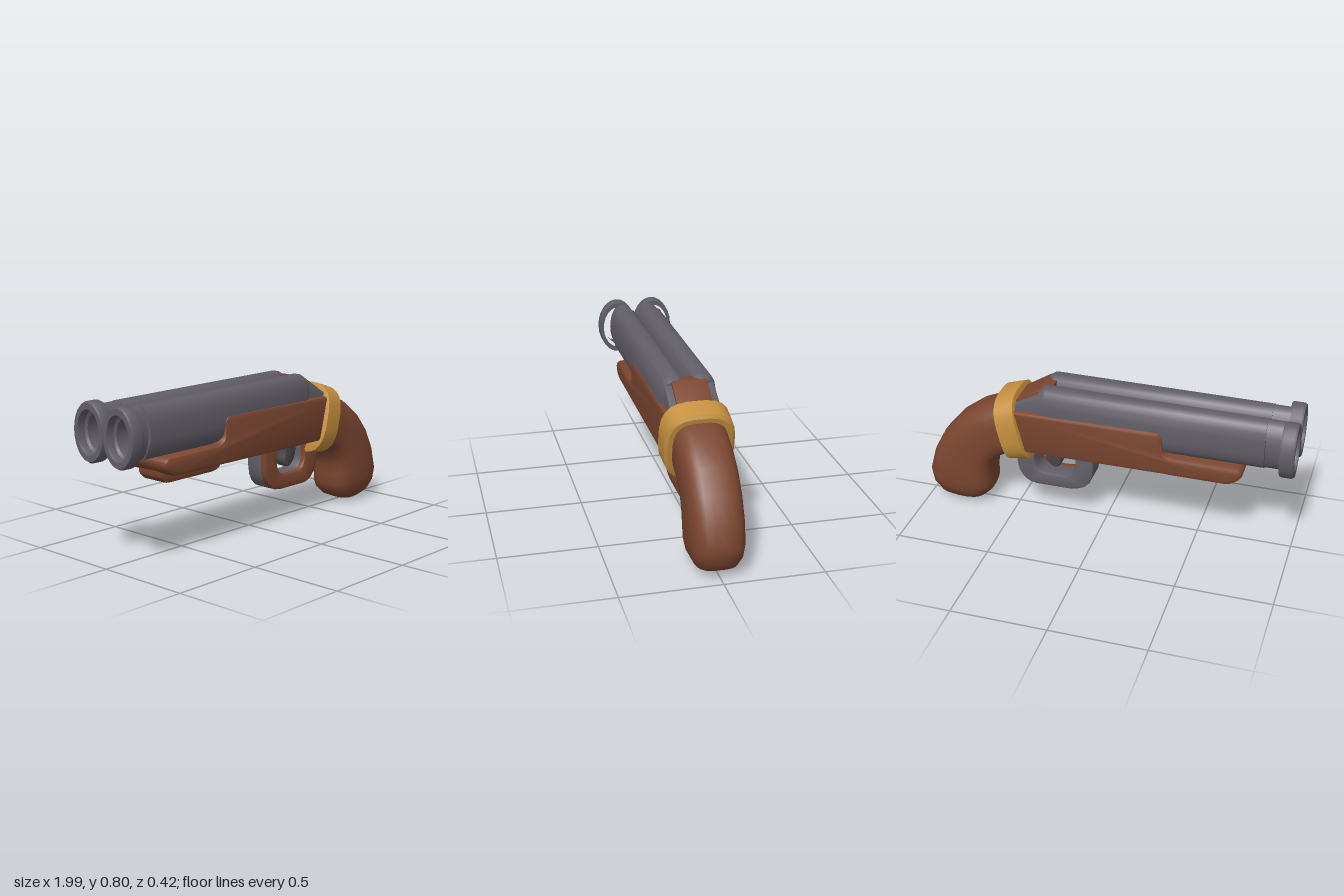
import * as THREE from 'three';
import { toCreasedNormals } from 'three/addons/utils/BufferGeometryUtils.js';

const material = (name, color) => {
  const m = new THREE.MeshStandardMaterial({ color });
  m.name = name;
  return m;
};

// Rounded-box ring between a top and a bottom point, hw wide to each side in z
function ring(top, bottom, hw, z0 = 0, n = 3, sides = 20) {
  const pts = [];
  const pow = (v) => Math.sign(v) * Math.abs(v) ** (2 / n);
  for (let j = 0; j < sides; j++) {
    const a = ((j + 0.5) / sides) * Math.PI * 2;
    const c = pow(Math.cos(a)) / 2, s = pow(Math.sin(a));
    pts.push([
      (top[0] + bottom[0]) / 2 + (top[0] - bottom[0]) * c,
      (top[1] + bottom[1]) / 2 + (top[1] - bottom[1]) * c,
      z0 + hw * s,
    ]);
  }
  return pts;
}

// Skin over a row of rings, capped at both ends
function loft(rings, crease = 0.6) {
  const n = rings[0].length, last = (rings.length - 1) * n;
  const pos = rings.flat(2), idx = [];
  const middle = (r) => [0, 1, 2].map((k) => r.reduce((s, p) => s + p[k], 0) / n);
  pos.push(...middle(rings[0]), ...middle(rings[rings.length - 1]));
  for (let j = 0; j < n; j++) {
    const k = (j + 1) % n;
    for (let i = 0; i < last; i += n) {
      idx.push(i + j, i + k, i + n + j, i + k, i + n + k, i + n + j);
    }
    idx.push(last + n, k, j, last + n + 1, last + j, last + k);
  }
  const g = new THREE.BufferGeometry();
  g.setAttribute('position', new THREE.Float32BufferAttribute(pos, 3));
  g.setIndex(idx);
  return toCreasedNormals(g, crease);
}

// Side outline with softened edges, from z0 to z1
function slab(shape, z0, z1, bevel) {
  const g = new THREE.ExtrudeGeometry(shape, {
    depth: z1 - z0 - 2 * bevel, bevelEnabled: bevel > 0, bevelSize: bevel,
    bevelThickness: bevel, bevelOffset: -bevel, bevelSegments: 2, curveSegments: 5,
  });
  g.translate(0, 0, z0 + bevel);
  return toCreasedNormals(g, 0.6);
}

const polygon = (pts) => new THREE.Shape(pts.map((p) => new THREE.Vector2(...p)));

export function createModel() {
  const wood = material('wood', 0x7b4630);
  const steel = material('steel', 0x625e68);
  const brass = material('brass', 0xc6903f);
  const dark = material('dark steel', 0x47474a);
  const model = new THREE.Group();
  const add = (name, geometry, mat) => {
    const m = new THREE.Mesh(geometry, mat);
    m.name = name;
    model.add(m);
  };

  // Twin barrels with flared, hollow muzzle rings
  const muzzleProfile = [[0.8, 0], [0.97, 0], [1, 0.01], [1, 0.06], [0.95, 0.072],
    [0.74, 0.072], [0.7, 0.06], [0.7, 0.03], [0.6, 0.02], [0.6, -0.08], [0, -0.08]]
    .map((p) => new THREE.Vector2(...p));
  for (const side of [1, -1]) {
    const name = side > 0 ? 'left' : 'right';
    const section = (x, top, bottom, hw) => ring([x, top], [x, bottom], hw, side * 0.075, 2.7, 16);
    // the front section is a thin collar hidden behind the muzzle ring
    add(name + 'Barrel', loft([
      section(-0.845, 0.785, 0.52, 0.073), section(-0.4, 0.787, 0.52, 0.073),
      section(0.3, 0.79, 0.54, 0.07), section(0.335, 0.77, 0.56, 0.058),
    ]), steel);
    const sleeve = new THREE.CylinderGeometry(1, 1, 0.1, 24, 1, true);
    sleeve.scale(0.133, 1, 0.073).rotateZ(Math.PI / 2).translate(-0.89, 0.6525, side * 0.075);
    add(name + 'BarrelFront', sleeve, steel);
    const muzzle = new THREE.LatheGeometry(muzzleProfile, 24);
    muzzle.scale(0.15, 1, 0.106).rotateZ(Math.PI / 2).translate(-0.928, 0.65, side * 0.103);
    add(name + 'MuzzleRing', toCreasedNormals(muzzle, 0.6), steel);
  }

  // Sloping breech behind the barrels: wooden middle, steel cheeks
  add('breechCheeks', slab(polygon([[0.28, 0.6], [0.47, 0.6], [0.47, 0.675], [0.33, 0.755], [0.28, 0.755]]),
    -0.128, 0.128, 0.015), steel);
  add('breechWedge', slab(polygon([[0.28, 0.6], [0.49, 0.6], [0.49, 0.675], [0.335, 0.772], [0.28, 0.772]]),
    -0.09, 0.09, 0.006), wood);

  // Stock with its stepped fore-end
  const stock = new THREE.Shape();
  stock.moveTo(-0.67, 0.42);
  stock.lineTo(0.42, 0.415);
  stock.lineTo(0.48, 0.655);
  stock.lineTo(-0.29, 0.663);
  stock.quadraticCurveTo(-0.332, 0.66, -0.332, 0.62);
  stock.lineTo(-0.335, 0.56);
  stock.quadraticCurveTo(-0.345, 0.525, -0.39, 0.522);
  stock.lineTo(-0.72, 0.518);
  stock.quadraticCurveTo(-0.755, 0.505, -0.74, 0.47);
  stock.quadraticCurveTo(-0.72, 0.43, -0.67, 0.42);
  add('stock', slab(stock, -0.156, 0.156, 0.022), wood);

  // Rounded block under the fore-end
  const block = new THREE.Shape();
  block.moveTo(-0.71, 0.45);
  block.lineTo(-0.71, 0.41);
  block.quadraticCurveTo(-0.69, 0.37, -0.64, 0.37);
  block.lineTo(-0.35, 0.37);
  block.quadraticCurveTo(-0.29, 0.375, -0.285, 0.42);
  block.lineTo(-0.285, 0.45);
  add('foreEndBlock', slab(block, -0.085, 0.085, 0.02), wood);

  // Curved grip, skinned from top/bottom pairs
  add('grip', loft([
    [0.48, 0.67, 0.42, 0.38, 0.138], [0.585, 0.645, 0.52, 0.345, 0.138],
    [0.7, 0.595, 0.575, 0.315, 0.137], [0.81, 0.515, 0.613, 0.275, 0.137],
    [0.9, 0.41, 0.632, 0.225, 0.137], [0.963, 0.29, 0.635, 0.165, 0.137],
    [0.996, 0.17, 0.634, 0.11, 0.135], [0.986, 0.105, 0.65, 0.07, 0.127],
    [0.95, 0.05, 0.69, 0.033, 0.105], [0.89, 0.015, 0.745, 0.01, 0.07],
    [0.84, 0.002, 0.785, 0.002, 0.03],
  ].map(([tx, ty, bx, by, w]) => ring([tx, ty], [bx, by], w, 0, 3, 24)), 0.9), wood);

  // Brass band around the neck of the grip
  add('band', loft([
    [0.468, 0.7, 0.385, 0.36, 0.166], [0.478, 0.72, 0.387, 0.342, 0.18],
    [0.58, 0.688, 0.498, 0.325, 0.176], [0.588, 0.668, 0.51, 0.345, 0.16],
  ].map(([tx, ty, bx, by, w]) => ring([tx, ty], [bx, by], w, 0, 3, 24)), 0.45), brass);

  // Trigger guard: wooden front layer, steel behind it
  const guard = new THREE.Shape();
  guard.moveTo(0.06, 0.43);
  guard.lineTo(0.06, 0.31);
  guard.quadraticCurveTo(0.065, 0.175, 0.2, 0.172);
  guard.lineTo(0.38, 0.172);
  guard.quadraticCurveTo(0.47, 0.18, 0.485, 0.29);
  guard.lineTo(0.49, 0.43);
  guard.lineTo(0.38, 0.43);
  guard.lineTo(0.385, 0.33);
  guard.quadraticCurveTo(0.38, 0.255, 0.33, 0.252);
  guard.lineTo(0.22, 0.252);
  guard.quadraticCurveTo(0.16, 0.265, 0.16, 0.32);
  guard.lineTo(0.16, 0.43);
  add('guardFront', slab(guard, 0.025, 0.065, 0.012), wood);
  add('guardBack', slab(guard, -0.065, 0.04, 0.012), steel);

  // Trigger
  const trigger = new THREE.Shape();
  trigger.moveTo(0.255, 0.43);
  trigger.quadraticCurveTo(0.265, 0.37, 0.245, 0.32);
  trigger.quadraticCurveTo(0.25, 0.275, 0.29, 0.278);
  trigger.quadraticCurveTo(0.35, 0.3, 0.35, 0.43);
  add('trigger', slab(trigger, -0.035, 0.035, 0.01), dark);

  return model;
}
